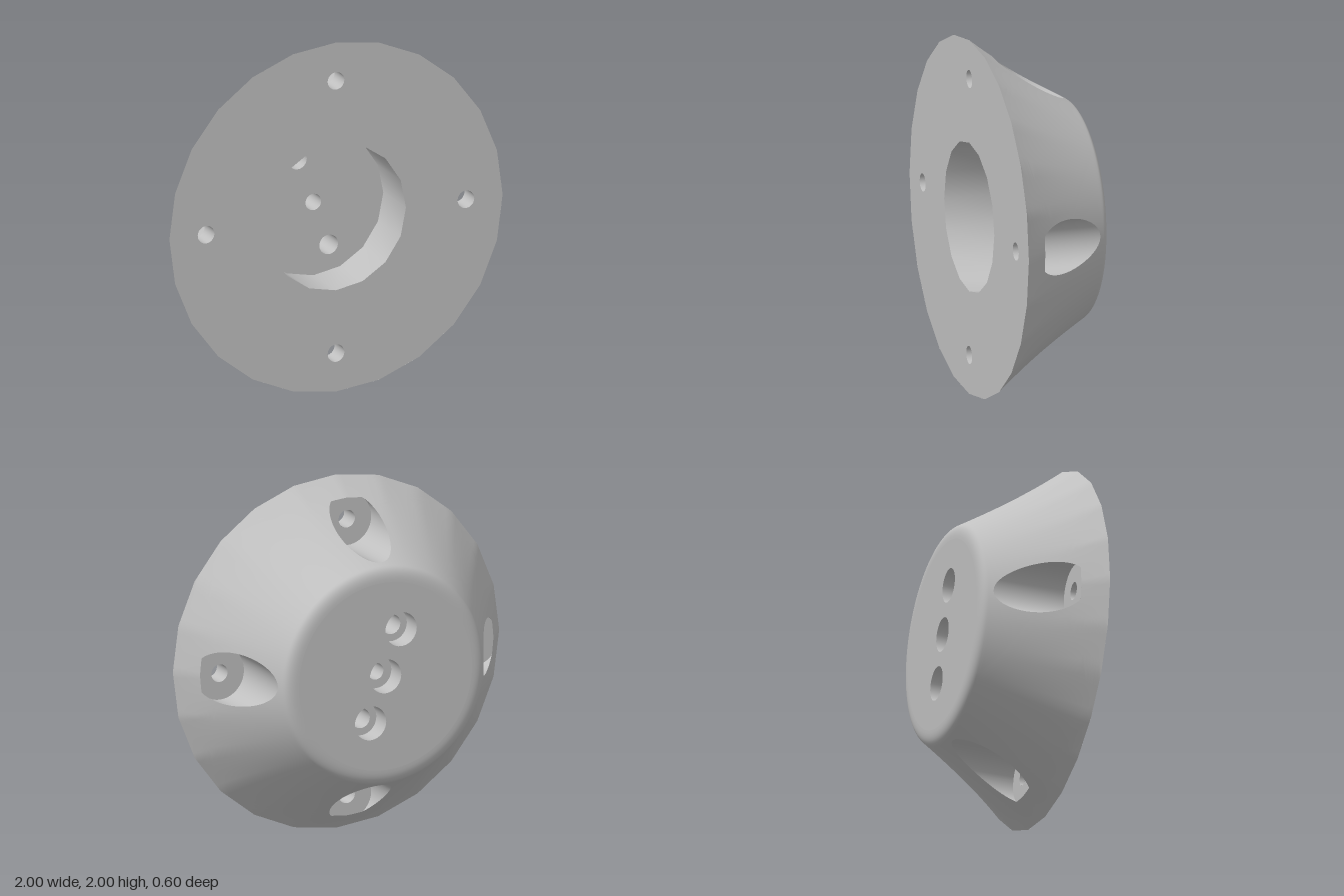
import * as THREE from 'three';
import { mergeGeometries, mergeVertices } from 'three/addons/utils/BufferGeometryUtils.js';

const FRONT = 0.3, BACK = -0.3, POCKET_Z = 0.17, RECESS_Z = 0, BORE_Z = -0.18;
const BOLT_R = 0.78, POCKET_R = 0.15, CLIP_R = 0.899, CONE_R = 0.615, CAP_R = 0.53;
const screws = [[0, 0, 0.047], [-0.095, 0.255, 0.056], [0.092, -0.255, 0.056]];

// Height of the flared side at a given radius
const coneZ = (r) => (r - BOLT_R) * (1.51 - 0.664 * (r - BOLT_R));

// Polar point whose outline changes from round at the back to 24-sided at the front
function flare(angle, r, z) {
  const step = Math.PI / 12;
  const a = ((angle % step) + step) % step;
  const poly = Math.cos(step / 2) / Math.cos(a - step / 2);
  const t = Math.max(0, (r - 0.6) / 0.4) ** 2;
  const R = r * (1 + (poly - 1) * t);
  return [R * Math.cos(angle), R * Math.sin(angle), z];
}

// Surface through closed rings (counter-clockwise seen from the front)
function loft(rings) {
  const n = rings[0].length, index = [];
  for (let i = 0; i < rings.length - 1; i++) {
    for (let j = 0; j < n; j++) {
      const a = i * n + j, b = i * n + (j + 1) % n;
      index.push(a, b, b + n, a, b + n, a + n);
    }
  }
  const g = new THREE.BufferGeometry();
  g.setAttribute('position', new THREE.Float32BufferAttribute(rings.flat(2), 3));
  g.setIndex(index);
  g.computeVertexNormals();
  return g;
}

function circle(x, y, r, z, n = 32) {
  return Array.from({ length: n }, (_, i) => {
    const a = (i / n) * Math.PI * 2;
    return [x + r * Math.cos(a), y + r * Math.sin(a), z];
  });
}

// Flat face with round holes, facing the front
function plate(r, sides, holes, z) {
  const points = (x, y, radius, n) => circle(x, y, radius, 0, n).map((p) => new THREE.Vector2(p[0], p[1]));
  const shape = new THREE.Shape(points(0, 0, r, sides));
  for (const [x, y, hr, n = 32] of holes) shape.holes.push(new THREE.Path(points(x, y, hr, n)));
  return new THREE.ShapeGeometry(shape).translate(0, 0, z);
}

// Border of one quarter of the flared side, as [angle, radius]
function quarterBorder() {
  const q = Math.PI / 4, arc = 48, side = 12, pts = [];
  for (let i = 0; i < arc; i++) pts.push([-q + (2 * q * i) / arc, 1]);
  for (let i = 0; i < side; i++) pts.push([q, 1 + ((CONE_R - 1) * i) / side]);
  for (let i = 0; i < arc; i++) pts.push([q - (2 * q * i) / arc, CONE_R]);
  for (let i = 0; i < side; i++) pts.push([-q, CONE_R + ((1 - CONE_R) * i) / side]);
  return pts;
}

export function createModel() {
  const group = new THREE.Group();
  const grey = new THREE.MeshStandardMaterial({ color: 0xc0c0c0, side: THREE.DoubleSide });
  grey.name = 'light grey';
  const add = (name, geometry, parent = group) => {
    const mesh = new THREE.Mesh(geometry, grey);
    mesh.name = name;
    parent.add(mesh);
    return mesh;
  };

  // Pocket mouth: a circle cut off where the side meets the pocket floor
  const border = quarterBorder();
  const phis = border.map(([a, r]) => Math.atan2(a * BOLT_R, r - BOLT_R));
  const mouth = phis.map((p) => {
    const x = BOLT_R + POCKET_R * Math.cos(p), y = POCKET_R * Math.sin(p);
    return [Math.atan2(y, x), Math.min(Math.hypot(x, y), CLIP_R)];
  });

  // Flared side: four quarters, each spreading from its pocket mouth to its border
  const steps = 14, rings = [];
  for (let s = 0; s <= steps; s++) {
    const t = s / steps;
    rings.push(mouth.map(([a, r], i) => {
      const A = a + (border[i][0] - a) * t, R = r + (border[i][1] - r) * t;
      return flare(A, R, coneZ(R));
    }));
  }
  const skin = [0, 1, 2, 3].map((k) => loft(rings).rotateZ((k * Math.PI) / 2));

  // Rounded back edge
  const edge = new THREE.QuadraticBezierCurve(
    new THREE.Vector2(CAP_R, BACK), new THREE.Vector2(0.596, BACK), new THREE.Vector2(CONE_R, coneZ(CONE_R)));
  skin.push(loft(edge.getPoints(8).map((p) =>
    circle(0, 0, p.x, p.y, 192).map(([x, y, z]) => flare(Math.atan2(y, x), p.x, z)))));
  const merged = mergeGeometries(skin);
  merged.deleteAttribute('normal');
  const side = mergeVertices(merged, 1e-4);
  side.computeVertexNormals();
  add('flaredSide', side);

  // Bolt pockets
  const rim = mouth.map(([a, r]) => flare(a, r, Math.min(coneZ(r), POCKET_Z)));
  const base = rim.map(([x, y]) => [x, y, POCKET_Z]);
  const boltRing = phis.map((p) => [BOLT_R + 0.05 * Math.cos(p), 0.05 * Math.sin(p), POCKET_Z]);
  for (let k = 0; k < 4; k++) {
    const pocket = new THREE.Group();
    pocket.name = 'boltPocket';
    pocket.rotation.z = (k * Math.PI) / 2;
    add('pocketWall', loft([base, rim]), pocket);
    add('pocketFloor', loft([boltRing, base]), pocket);
    add('boltHole', loft([circle(BOLT_R, 0, 0.05, FRONT), circle(BOLT_R, 0, 0.05, POCKET_Z)]), pocket);
    group.add(pocket);
  }

  // Front face with bolt holes and the central recess
  const bolts = [[BOLT_R, 0, 0.05], [0, BOLT_R, 0.05], [-BOLT_R, 0, 0.05], [0, -BOLT_R, 0.05]];
  add('frontFace', plate(1, 24, [...bolts, [0, 0, 0.42, 16]], FRONT));
  add('recessWall', loft([circle(0, 0, 0.42, FRONT, 16), circle(0, 0, 0.42, RECESS_Z, 16)]));
  add('recessFloor', plate(0.42, 16, screws, RECESS_Z));

  // Back face with three counterbored screw holes
  const bores = screws.map(([x, y]) => [-x, y, 0.096]);
  add('backFace', plate(CAP_R, 192, bores, -BACK).rotateY(Math.PI));
  for (const [x, y, r] of screws) {
    add('screwHole', loft([circle(x, y, r, RECESS_Z), circle(x, y, r, BORE_Z)]));
    add('counterboreFloor', loft([circle(x, y, r, BORE_Z), circle(x, y, 0.096, BORE_Z)]));
    add('counterboreWall', loft([circle(x, y, 0.096, BORE_Z), circle(x, y, 0.096, BACK)]));
  }

  group.position.y = 1;
  const model = new THREE.Group();
  model.name = 'flangedHub';
  model.add(group);
  group.name = 'hubBody';
  return model;
}
